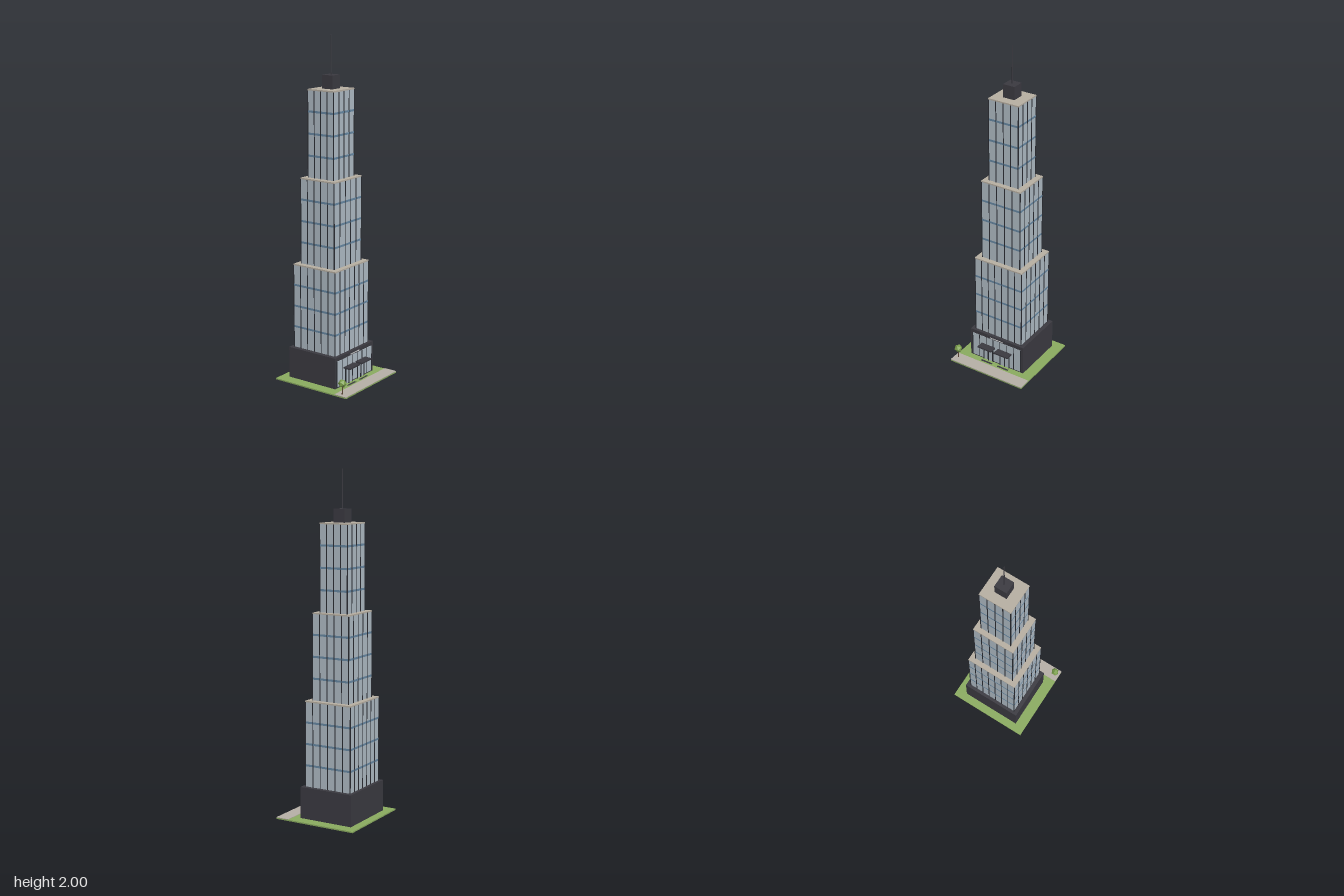
import * as THREE from 'three';

const mat = (name, color, flatShading = false) =>
  Object.assign(new THREE.MeshStandardMaterial({ color, flatShading }), { name });

export function createModel() {
  const glass = mat('glass', 0xb0bcc5);
  const spandrel = mat('blue spandrel', 0x6788a3);
  const dark = mat('dark cladding', 0x3b3a41);
  const frame = mat('dark frame', 0x2a2c32);
  const stone = mat('roof stone', 0xb8b0a3);
  const paving = mat('paving', 0xb7b0a7);
  const grass = mat('grass', 0x8bac60);
  const leaf = mat('foliage', 0x7ca04c, true);
  const bark = mat('bark', 0x5b4634);
  const pale = mat('pale sign', 0xd8d8d8);

  const model = new THREE.Group();
  model.name = 'skyscraper';
  const group = (name, parent = model) => {
    const g = new THREE.Group();
    g.name = name;
    parent.add(g);
    return g;
  };
  // Box given by its low and high limits on each axis
  const box = (parent, name, material, [x0, x1], [y0, y1], [z0, z1]) => {
    const m = new THREE.Mesh(new THREE.BoxGeometry(x1 - x0, y1 - y0, z1 - z0), material);
    m.position.set((x0 + x1) / 2, (y0 + y1) / 2, (z0 + z1) / 2);
    m.name = name;
    parent.add(m);
    return m;
  };
  const around = (c, half) => [c - half, c + half];

  // Site
  const site = group('site');
  box(site, 'lawn', grass, [-0.254, 0.254], [0.0005, 0.008], [-0.254, 0.254]);
  box(site, 'sidewalk', paving, [-0.254, 0.254], [0.007, 0.011], [0.174, 0.254]);

  // Podium
  const cz = -0.0375;
  const podium = group('podium');
  box(podium, 'podiumBlock', dark, [-0.188, 0.188], [0.006, 0.193], [-0.205, 0.13]);

  // Lobby glazing on the podium front
  box(podium, 'lobbyGlass', glass, [-0.172, 0.172], [0.014, 0.17], [0.129, 0.1315]);
  for (let i = 0; i <= 7; i++) {
    box(podium, 'lobbyMullion', frame, around(-0.172 + i * 0.344 / 7, 0.002), [0.014, 0.17], [0.13, 0.133]);
  }
  box(podium, 'signBoard', dark, [-0.073, 0.073], [0.172, 0.189], [0.13, 0.133]);
  box(podium, 'signPanel', pale, [-0.045, 0.045], [0.176, 0.182], [0.133, 0.134]);

  // Mirrored entrances with doors, canopy and mat
  for (const s of [-1, 1]) {
    const entrance = group(s > 0 ? 'leftEntrance' : 'rightEntrance');
    const cx = s * 0.0585;
    box(entrance, 'doorGlass', glass, around(cx, 0.032), [0.01, 0.1], [0.13, 0.1335]);
    for (const [dx, half] of [[-0.032, 0.0025], [0, 0.0035], [0.032, 0.0025]]) {
      box(entrance, 'doorPost', frame, around(cx + dx, half), [0.008, 0.103], [0.13, 0.136]);
    }
    box(entrance, 'doorHead', frame, around(cx, 0.0345), [0.099, 0.105], [0.13, 0.136]);
    box(entrance, 'canopy', dark, around(cx, 0.0485), [0.11, 0.119], [0.13, 0.177]);
    box(entrance, 'doorMat', dark, around(cx, 0.038), [0, 0.009], [0.148, 0.16]);
  }

  // Stepped tower: half width, half depth, bottom, top, bays across and deep
  const tiers = [
    [0.162, 0.148, 0.193, 0.696, 7, 6],
    [0.130, 0.118, 0.696, 1.2, 5, 5],
    [0.097, 0.089, 1.2, 1.703, 4, 4],
  ];
  tiers.forEach(([hw, hd, y0, y1, nx, nz], t) => {
    const tier = group('towerTier' + (t + 1));
    const top = y1 - 0.008;
    box(tier, 'curtainWall', glass, around(0, hw), [y0, top], around(cz, hd));
    box(tier, 'roofSlab', stone, around(0, hw + 0.001), [top, y1], around(cz, hd + 0.001));
    for (let i = 1; i <= 3; i++) {
      const y = y0 + (y1 - y0) * i / 4;
      box(tier, 'spandrelBand', spandrel, around(0, hw + 0.001), [y - 0.006, y + 0.006], around(cz, hd + 0.001));
    }
    // Mullions on all four faces, meeting at the corners
    for (const s of [-1, 1]) {
      for (let i = 0; i <= nx; i++) {
        const x = -hw + 2 * hw * i / nx;
        box(tier, 'mullion', frame, around(x, 0.0025), [y0, top], around(cz + s * hd, 0.0022));
      }
      for (let i = 1; i < nz; i++) {
        const z = cz - hd + 2 * hd * i / nz;
        box(tier, 'sideMullion', frame, around(s * hw, 0.0022), [y0, top], around(z, 0.0025));
      }
    }
  });

  // Rooftop plant room and mast
  const crown = group('rooftop');
  box(crown, 'plantRoom', dark, around(0, 0.037), [1.703, 1.78], around(cz, 0.036));
  const mast = new THREE.Mesh(new THREE.CylinderGeometry(0.0025, 0.004, 0.22, 8), dark);
  mast.position.set(0, 1.89, cz);
  mast.name = 'mast';
  crown.add(mast);

  // Street tree
  const tree = group('tree');
  tree.position.set(-0.227, 0, 0.21);
  const trunk = new THREE.Mesh(new THREE.CylinderGeometry(0.003, 0.004, 0.055, 6), bark);
  trunk.position.y = 0.0375;
  trunk.name = 'trunk';
  const foliage = new THREE.Mesh(new THREE.IcosahedronGeometry(0.025, 0), leaf);
  foliage.position.y = 0.076;
  foliage.rotation.y = Math.PI / 2;
  foliage.name = 'foliage';
  tree.add(trunk, foliage);

  return model;
}
